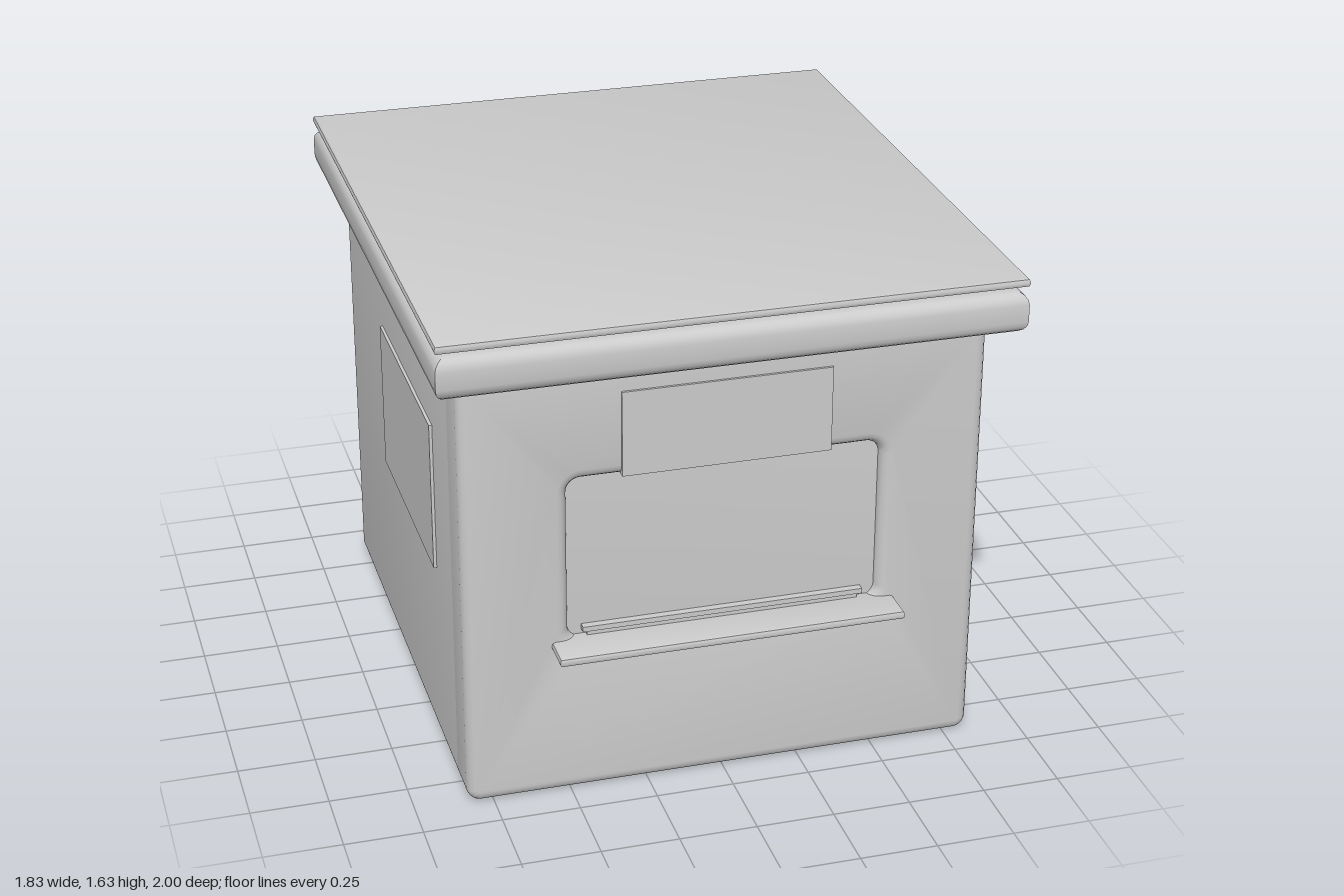
import * as THREE from 'three';
import { toCreasedNormals } from 'three/addons/utils/BufferGeometryUtils.js';

const material = new THREE.MeshStandardMaterial({ color: 0xcccccc });

// Rectangle outline, with rounded corners when r > 0
function outline(x0, y0, x1, y1, r, Type = THREE.Shape) {
  const s = new Type();
  if (!r) {
    return s.setFromPoints([[x0, y0], [x1, y0], [x1, y1], [x0, y1]].map(p => new THREE.Vector2(...p)));
  }
  s.absarc(x1 - r, y0 + r, r, -Math.PI / 2, 0);
  s.absarc(x1 - r, y1 - r, r, 0, Math.PI / 2);
  s.absarc(x0 + r, y1 - r, r, Math.PI / 2, Math.PI);
  s.absarc(x0 + r, y0 + r, r, Math.PI, Math.PI * 1.5);
  s.closePath();
  return s;
}

// Extrude along z from z0 to z1 with edges rounded by b inside the outline
function slab(shape, z0, z1, b, segments = 4) {
  const g = new THREE.ExtrudeGeometry(shape, {
    depth: z1 - z0 - 2 * b, bevelEnabled: true, bevelSize: b, bevelThickness: b,
    bevelOffset: -b, bevelSegments: segments, curveSegments: 6,
  });
  g.translate(0, 0, z0 + b);
  return toCreasedNormals(g, 0.6);
}

export function createModel() {
  const group = new THREE.Group();
  const add = (name, geometry) => {
    const mesh = new THREE.Mesh(geometry, material);
    mesh.name = name;
    group.add(mesh);
    return mesh;
  };
  const box = (name, x0, x1, y0, y1, z0, z1) => {
    const g = new THREE.BoxGeometry(x1 - x0, y1 - y0, z1 - z0);
    g.translate((x0 + x1) / 2, (y0 + y1) / 2, (z0 + z1) / 2);
    return add(name, g);
  };

  // Main body; its front cap is the floor of the window recess
  const wall = () => outline(-0.832, 0, 0.832, 1.447, 0.045);
  add('body', slab(wall(), -0.89, 0.855, 0.04));

  // Front wall with a soft-edged window opening
  const front = wall();
  front.holes.push(outline(-0.5, 0.535, 0.5, 1.088, 0.045, THREE.Path));
  add('frontWall', slab(front, 0.7, 0.89, 0.035));

  // Roof slab and the thin plate floating above it
  const roofs = [['roofSlab', 1.45, 1.585, 0.04, 4], ['roofPlate', 1.602, 1.632, 0.013, 2]];
  for (const [name, y0, y1, b, segments] of roofs) {
    const g = slab(outline(-0.915, -1, 0.915, 1, 0), y0, y1, b, segments);
    g.rotateX(-Math.PI / 2);
    add(name, g);
  }

  // Counter shelf below the window
  const shelf = slab(outline(-0.557, -1, 0.557, -0.84, 0), 0.512, 0.542, 0.012, 2);
  shelf.rotateX(-Math.PI / 2);
  add('counterShelf', shelf);

  // Stepped rail at the foot of the window
  box('railBase', -0.44, 0.44, 0.53, 0.56, 0.845, 0.872);
  box('railCap', -0.455, 0.455, 0.558, 0.575, 0.845, 0.88);

  // Sign panel over the window
  box('signPanel', -0.332, 0.332, 1.088, 1.368, 0.85, 0.898);

  // Side panels
  for (const s of [1, -1]) {
    const x = s * 0.83;
    box(s > 0 ? 'leftPanel' : 'rightPanel', x - 0.012, x + 0.012, 0.643, 1.142, -0.275, 0.505);
  }

  return group;
}
